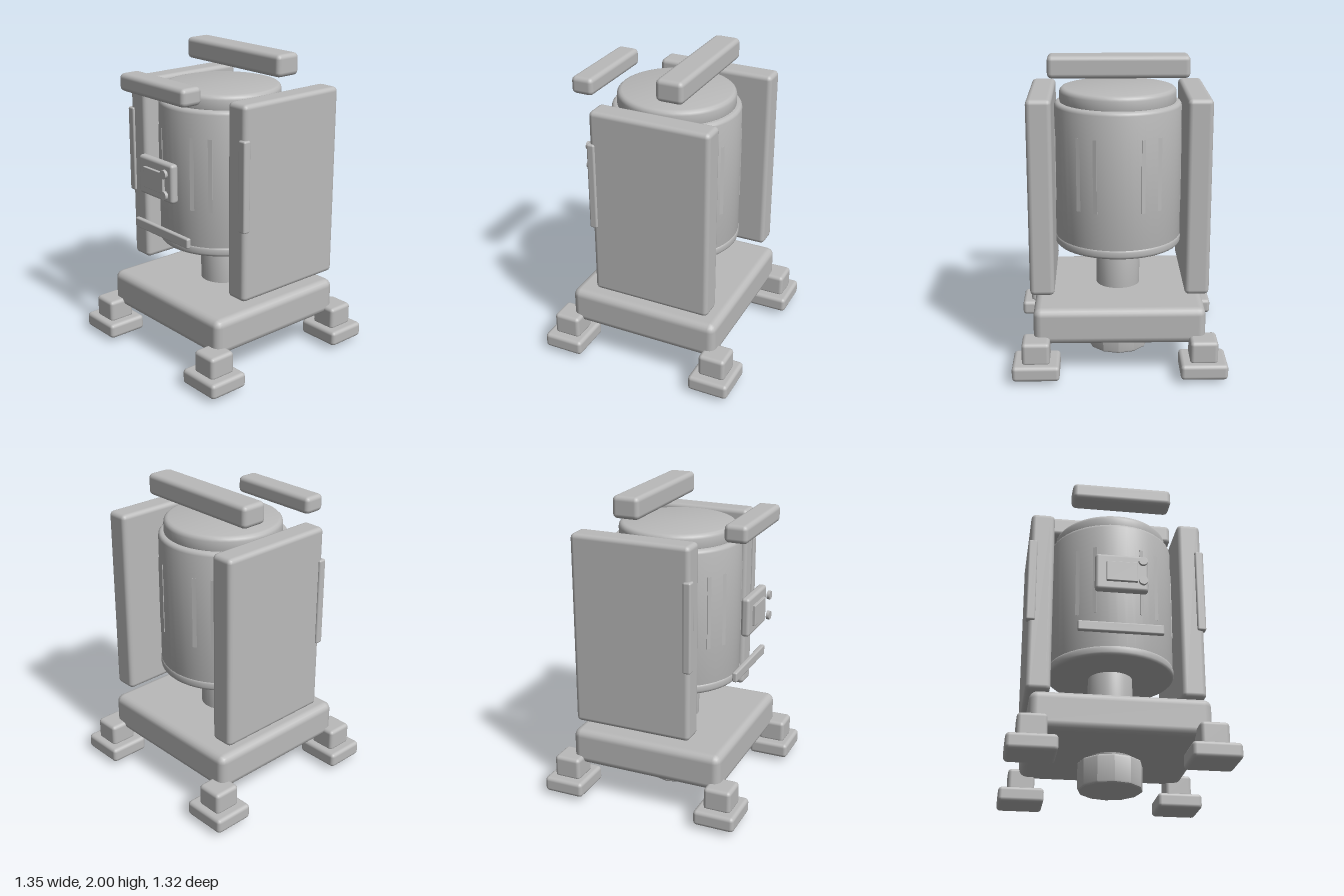
import * as THREE from 'three';
import { toCreasedNormals } from 'three/addons/utils/BufferGeometryUtils.js';
import { RoundedBoxGeometry } from 'three/addons/geometries/RoundedBoxGeometry.js';

const grey = new THREE.MeshStandardMaterial({ color: 0xbababa });
grey.name = 'plain grey';

export function createModel() {
  const model = new THREE.Group();
  model.name = 'drumMachine';

  function add(name, geometry, parent = model) {
    const mesh = new THREE.Mesh(geometry, grey);
    mesh.name = name;
    parent.add(mesh);
    return mesh;
  }

  // Rounded box given by its extents along each axis
  function box(name, [x0, x1], [y0, y1], [z0, z1], radius) {
    const mesh = add(name, new RoundedBoxGeometry(x1 - x0, y1 - y0, z1 - z0, 2, radius));
    mesh.position.set((x0 + x1) / 2, (y0 + y1) / 2, (z0 + z1) / 2);
    return mesh;
  }

  // Upright round part with rounded rims
  function round(name, radius, y0, y1, bevel, sides = 48, crease = 0.6) {
    const points = [new THREE.Vector2(0, y0)];
    const steps = 3;
    for (let i = 0; i <= steps; i++) {
      const a = (i / steps) * Math.PI / 2;
      points.push(new THREE.Vector2(radius - bevel + bevel * Math.sin(a), y0 + bevel - bevel * Math.cos(a)));
    }
    for (let i = 0; i <= steps; i++) {
      const a = (i / steps) * Math.PI / 2;
      points.push(new THREE.Vector2(radius - bevel + bevel * Math.cos(a), y1 - bevel + bevel * Math.sin(a)));
    }
    points.push(new THREE.Vector2(0, y1));
    return add(name, toCreasedNormals(new THREE.LatheGeometry(points, sides), crease));
  }

  // Base, column and twelve-sided foot knob
  box('base', [-0.545, 0.545], [0.21, 0.45], [-0.513, 0.513], 0.05);
  round('column', 0.144, 0.17, 0.8, 0.004);
  round('footKnob', 0.205, 0, 0.185, 0.018, 12, 0.4);

  // Four stepped feet
  for (const sx of [-1, 1]) {
    for (const sz of [-1, 1]) {
      const x = sx * 0.528, z = sz * 0.526;
      box('footPad', [x - 0.149, x + 0.149], [0.03, 0.13], [z - 0.135, z + 0.135], 0.025);
      box('footBlock', [x - 0.088, x + 0.088], [0.115, 0.267], [z - 0.09, z + 0.09], 0.025);
    }
  }

  // Drum with a bottom rim and a lid
  round('drum', 0.409, 0.76, 1.685, 0.025);
  round('drumRim', 0.413, 0.745, 0.812, 0.02);
  round('lid', 0.375, 1.66, 1.775, 0.03);

  // Six flat plates whose edges just break the drum wall
  for (let i = 0; i < 6; i++) {
    const pivot = new THREE.Group();
    pivot.name = 'drumPlate';
    pivot.rotation.y = Math.PI / 6 + i * Math.PI / 3;
    model.add(pivot);
    add('plate', new THREE.BoxGeometry(0.147, 0.47, 0.03), pivot).position.set(0, 1.275, 0.391);
  }

  // Side panels with front edge strips
  for (const s of [-1, 1]) {
    const span = (a, b) => (s > 0 ? [a, b] : [-b, -a]);
    box('sidePanel', span(0.408, 0.563), [0.53, 1.775], [-0.47, 0.317], 0.03);
    box('edgeStrip', span(0.518, 0.576), [0.99, 1.565], [0.278, 0.33], 0.012);
  }

  // Cross bars above the drum
  box('topBar', [-0.44, 0.44], [1.86, 2.0], [-0.242, -0.065], 0.03);
  box('frontBar', [-0.317, 0.317], [1.752, 1.865], [0.428, 0.577], 0.03);

  // Control panel, screen and buttons
  box('controlPanel', [-0.168, 0.165], [1.12, 1.37], [0.494, 0.55], 0.02);
  box('screen', [-0.1, 0.096], [1.176, 1.31], [0.545, 0.568], 0.004);
  for (const y of [1.178, 1.314]) {
    const button = add('button', new THREE.CylinderGeometry(0.028, 0.028, 0.02, 20));
    button.rotation.x = Math.PI / 2;
    button.position.set(0.127, y, 0.58);
  }

  // Low front strip
  box('lowerStrip', [-0.27, 0.265], [0.85, 0.915], [0.484, 0.516], 0.01);

  return model;
}
